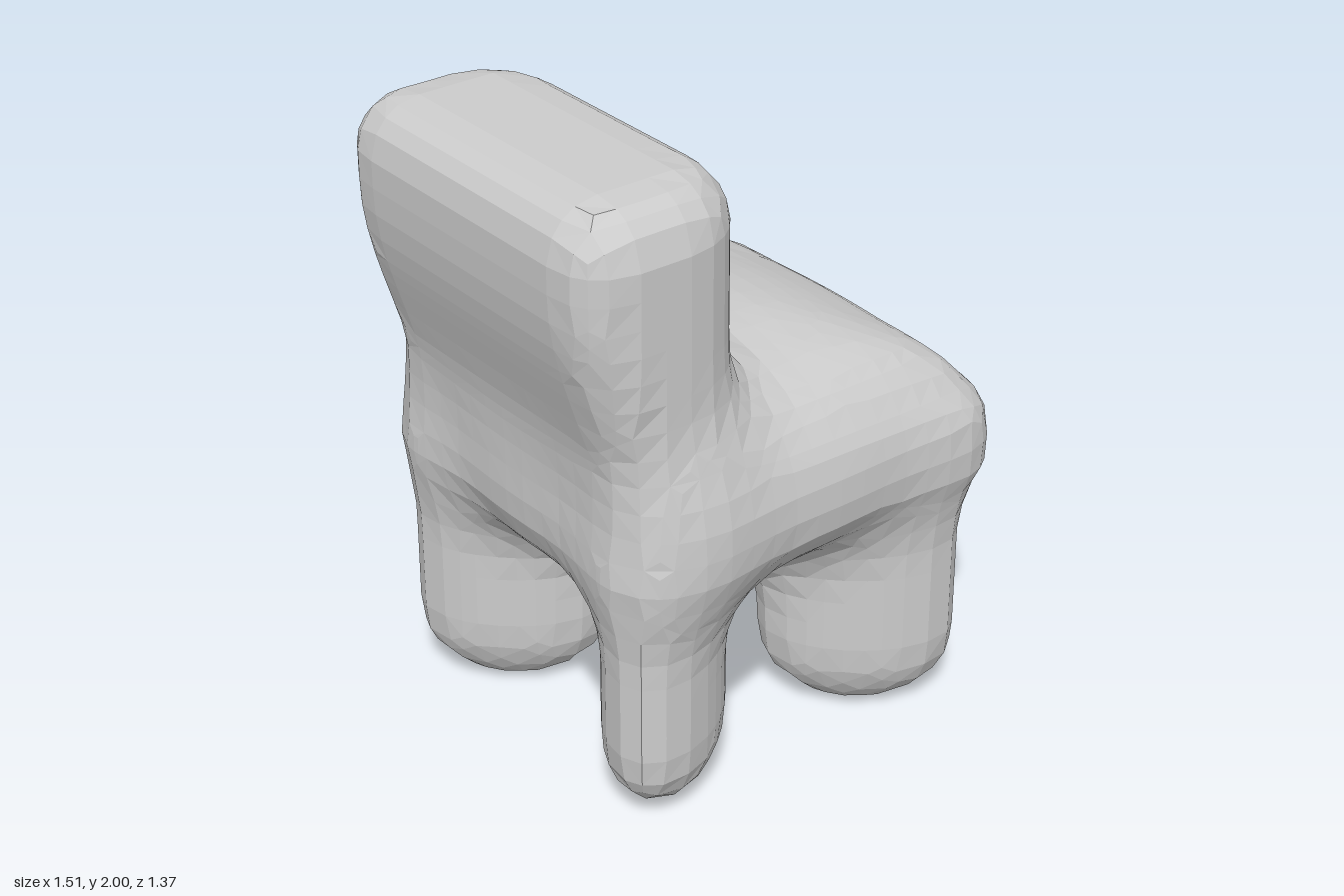
import * as THREE from 'three';

const clamp = THREE.MathUtils.clamp, smooth = THREE.MathUtils.smoothstep;

// Distance inside or outside a corner with radius r
const corner = (a, b, r) => Math.hypot(Math.max(a + r, 0), Math.max(b + r, 0)) + Math.min(Math.max(a + r, b + r), 0) - r;

// Signed distance to a box with rounded plan corners and rounded top and bottom edges
function roundBox(x, y, z, hx, hy, hz, planRadius, edgeRadius) {
  const plan = corner(Math.abs(x) - hx, Math.abs(z) - hz, planRadius);
  return corner(plan, Math.abs(y) - hy, edgeRadius);
}

// Union of two shapes with a soft fillet of size k
function blend(a, b, k) {
  const h = Math.max(k - Math.abs(a - b), 0) / k;
  return Math.min(a, b) - h * h * k / 4;
}

// Seat cushion: crowned across, dropping towards its open edge (+x)
function seat(x, y, z) {
  const drop = Math.hypot(0.3 * z * z, 0.4 * Math.max(0, x) ** 2);
  const yy = y + drop * clamp((y - 0.8) / 0.3, 0, 1);
  return roundBox(x - 0.12, yy - 1.03, z, 0.63, 0.3, 0.65, 0.2, 0.22);
}

// Backrest: leans out towards the top, rounder on the seat side
function backrest(x, y, z) {
  const rear = -0.575 - 0.175 * smooth(y, 0.95, 1.75), front = -0.14;
  const mid = (rear + front) / 2, half = (front - rear) / 2;
  return roundBox(x - mid, y - 1.36, z, half, 0.64, 0.605, x > mid ? Math.min(0.28, half) : 0.16, 0.16);
}

// Domed underside between the legs
function underside(x, y, z) {
  return (Math.hypot((x - 0.03) / 0.52, (y - 0.9) / 0.38, z / 0.52) - 1) * 0.38;
}

// Stubby leg: oval section pointing out along the diagonal, rounded foot
function leg(x, y, z, sx, sz) {
  const dx = (x - (sx > 0 ? 0.41 : -0.335)) * sx * 0.95, dz = (z * sz - 0.375) * 1.04;
  const u = (dx + dz) * Math.SQRT1_2, v = (dx - dz) * Math.SQRT1_2;
  const w = Math.max(0, (0.24 - y) / 0.24, (y - 0.6) / 0.4);
  return (Math.hypot(u / 0.295, v / 0.175, w) - 1) * 0.175;
}

// All parts melted together
function chair(x, y, z) {
  let d = blend(seat(x, y, z), backrest(x, y, z), 0.2);
  d = blend(d, underside(x, y, z), 0.2);
  for (const sx of [-1, 1]) for (const sz of [-1, 1]) d = blend(d, leg(x, y, z, sx, sz), 0.18);
  return d;
}

// Skin a distance field with one vertex per crossed grid cell
function skin(field, min, count, step) {
  const [nx, ny, nz] = count;
  const stride = [1, nx, nx * ny];
  const at = (i, j, k) => i + j * stride[1] + k * stride[2];
  const values = new Float32Array(nx * ny * nz);
  const cell = new Int32Array(nx * ny * nz).fill(-1);
  const positions = [], index = [];
  const each = (lo, hi, fn) => {
    for (let k = lo; k < nz - hi; k++)
      for (let j = lo; j < ny - hi; j++)
        for (let i = lo; i < nx - hi; i++) fn(i, j, k);
  };
  each(0, 0, (i, j, k) => {
    values[at(i, j, k)] = field(min[0] + i * step, min[1] + j * step, min[2] + k * step);
  });

  // Vertices: average of the edge crossings, then pulled onto the surface
  each(0, 1, (i, j, k) => {
    const sum = [0, 0, 0];
    let n = 0;
    for (let c = 0; c < 8; c++) {
      const o = [c & 1, (c >> 1) & 1, (c >> 2) & 1];
      const g = at(i + o[0], j + o[1], k + o[2]);
      for (let a = 0; a < 3; a++) {
        if (o[a]) continue;
        const v0 = values[g], v1 = values[g + stride[a]];
        if ((v0 < 0) === (v1 < 0)) continue;
        for (let m = 0; m < 3; m++) sum[m] += o[m] + (m === a ? v0 / (v0 - v1) : 0);
        n++;
      }
    }
    if (!n) return;
    const p = [i, j, k].map((g, m) => min[m] + (g + sum[m] / n) * step);
    const e = 0.01, d = field(...p);
    const grad = [0, 1, 2].map((m) => {
      const q = p.slice();
      q[m] += e;
      return (field(...q) - d) / e;
    });
    const t = clamp(d / Math.max(0.2, grad[0] ** 2 + grad[1] ** 2 + grad[2] ** 2), -0.025, 0.025);
    cell[at(i, j, k)] = positions.length / 3;
    positions.push(...p.map((v, m) => v - t * grad[m]));
  });

  // Faces: one quad around every crossed grid edge
  each(1, 1, (i, j, k) => {
    const g = at(i, j, k);
    for (let a = 0; a < 3; a++) {
      const inside = values[g] < 0;
      if (inside === (values[g + stride[a]] < 0)) continue;
      const b = stride[(a + 1) % 3], c = stride[(a + 2) % 3];
      const q = [cell[g], cell[g - b], cell[g - b - c], cell[g - c]];
      if (!inside) q.reverse();
      index.push(q[0], q[1], q[2], q[0], q[2], q[3]);
    }
  });

  const geometry = new THREE.BufferGeometry();
  geometry.setAttribute('position', new THREE.Float32BufferAttribute(positions, 3));
  geometry.setIndex(index);
  geometry.computeVertexNormals();
  return geometry;
}

export function createModel() {
  const group = new THREE.Group();
  group.name = 'chair';
  const geometry = skin(chair, [-1.04, -0.2, -1.04], [26, 30, 26], 1 / 12);
  const body = new THREE.Mesh(geometry, new THREE.MeshStandardMaterial({ color: 0xcccccc, flatShading: true }));
  body.name = 'seatBackrestAndLegs';
  group.add(body);
  return group;
}
